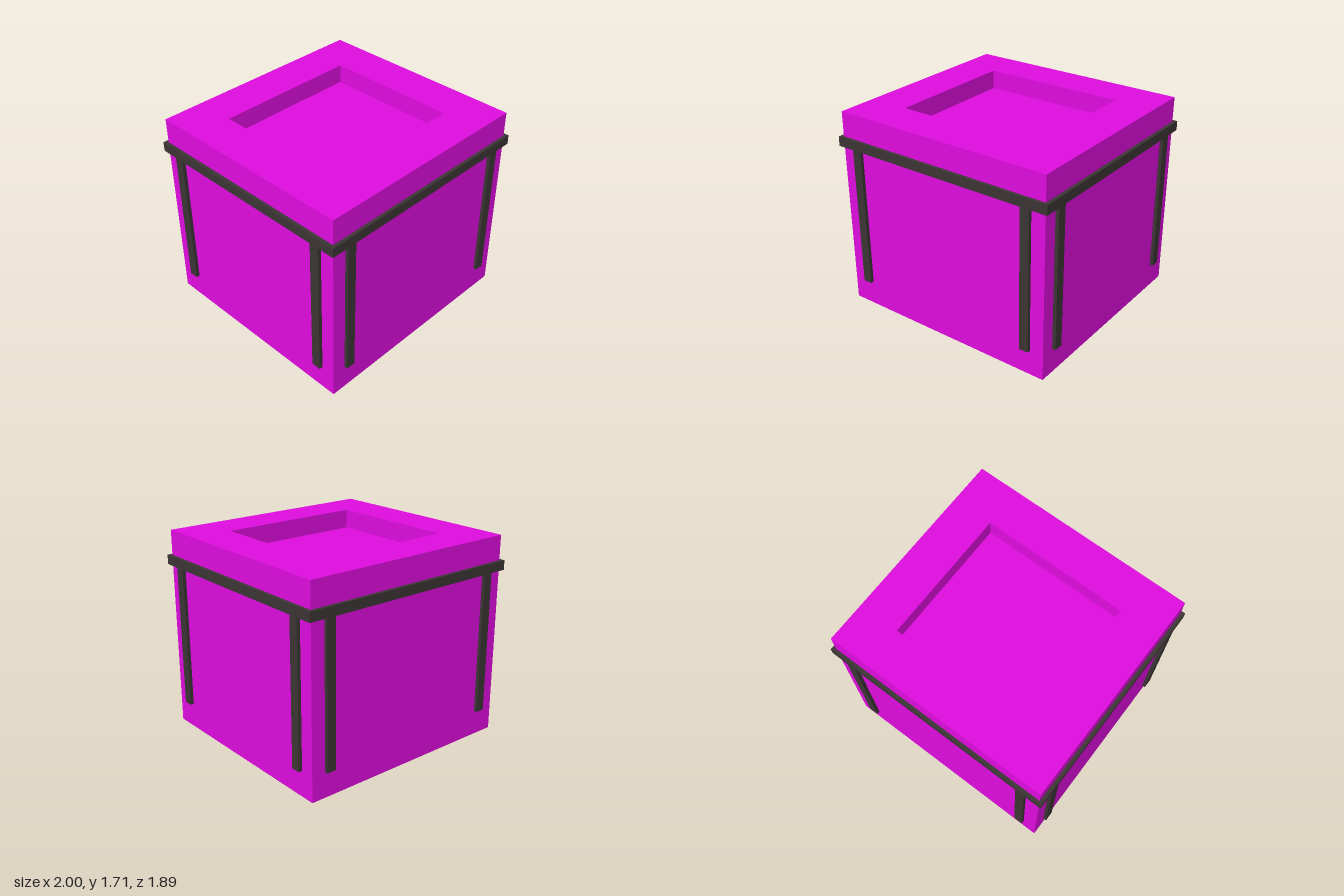
import * as THREE from 'three';

const BODY = { x: 0.97, z: 0.917, top: 1.705 };  // half sizes and height
const RECESS = { x: 0.62, z: 0.57, depth: 0.16 };
const BAND = { x: 1, z: 0.945, bottom: 1.415, top: 1.495 };
const LEG = { width: 0.08, inset: 0.16, bottom: 0.215 };

const bodyMaterial = new THREE.MeshStandardMaterial({ color: 0xdd0cdd });
const trimMaterial = new THREE.MeshStandardMaterial({ color: 0x3b3534 });

function addMesh(parent, name, geometry, material, x = 0, y = 0, z = 0) {
  const mesh = new THREE.Mesh(geometry, material);
  mesh.name = name;
  mesh.position.set(x, y, z);
  parent.add(mesh);
  return mesh;
}

// Rectangular ring lying flat, rising from y = 0
function ringGeometry(outer, inner, height) {
  const corners = (r) => [[-1, -1], [1, -1], [1, 1], [-1, 1]]
    .map(([sx, sz]) => new THREE.Vector2(sx * r.x, sz * r.z));
  const shape = new THREE.Shape(corners(outer));
  shape.holes.push(new THREE.Path(corners(inner).reverse()));
  return new THREE.ExtrudeGeometry(shape, { depth: height, bevelEnabled: false })
    .rotateX(-Math.PI / 2);
}

export function createModel() {
  const model = new THREE.Group();
  model.name = 'planterBox';

  // Body up to the recess floor, then the rim around the recess
  const floorY = BODY.top - RECESS.depth;
  addMesh(model, 'body', new THREE.BoxGeometry(2 * BODY.x, floorY, 2 * BODY.z),
    bodyMaterial, 0, floorY / 2, 0);
  addMesh(model, 'rim', ringGeometry(BODY, RECESS, RECESS.depth), bodyMaterial, 0, floorY, 0);

  // Band wrapped around the body
  addMesh(model, 'band', ringGeometry(BAND, BODY, BAND.top - BAND.bottom),
    trimMaterial, 0, BAND.bottom, 0);

  // Two flat legs hang from the band on each of the four sides
  const legs = new THREE.Group();
  legs.name = 'legs';
  model.add(legs);
  const height = BAND.bottom - LEG.bottom;
  const y = LEG.bottom + height / 2;
  const frontLeg = new THREE.BoxGeometry(LEG.width, height, BAND.z - BODY.z);
  const sideLeg = new THREE.BoxGeometry(BAND.x - BODY.x, height, LEG.width);
  for (const sx of [-1, 1]) {
    for (const sz of [-1, 1]) {
      addMesh(legs, sz > 0 ? 'frontLeg' : 'backLeg', frontLeg, trimMaterial,
        sx * (BODY.x - LEG.inset), y, sz * (BAND.z + BODY.z) / 2);
      addMesh(legs, sx > 0 ? 'leftLeg' : 'rightLeg', sideLeg, trimMaterial,
        sx * (BAND.x + BODY.x) / 2, y, sz * (BODY.z - LEG.inset));
    }
  }
  return model;
}
